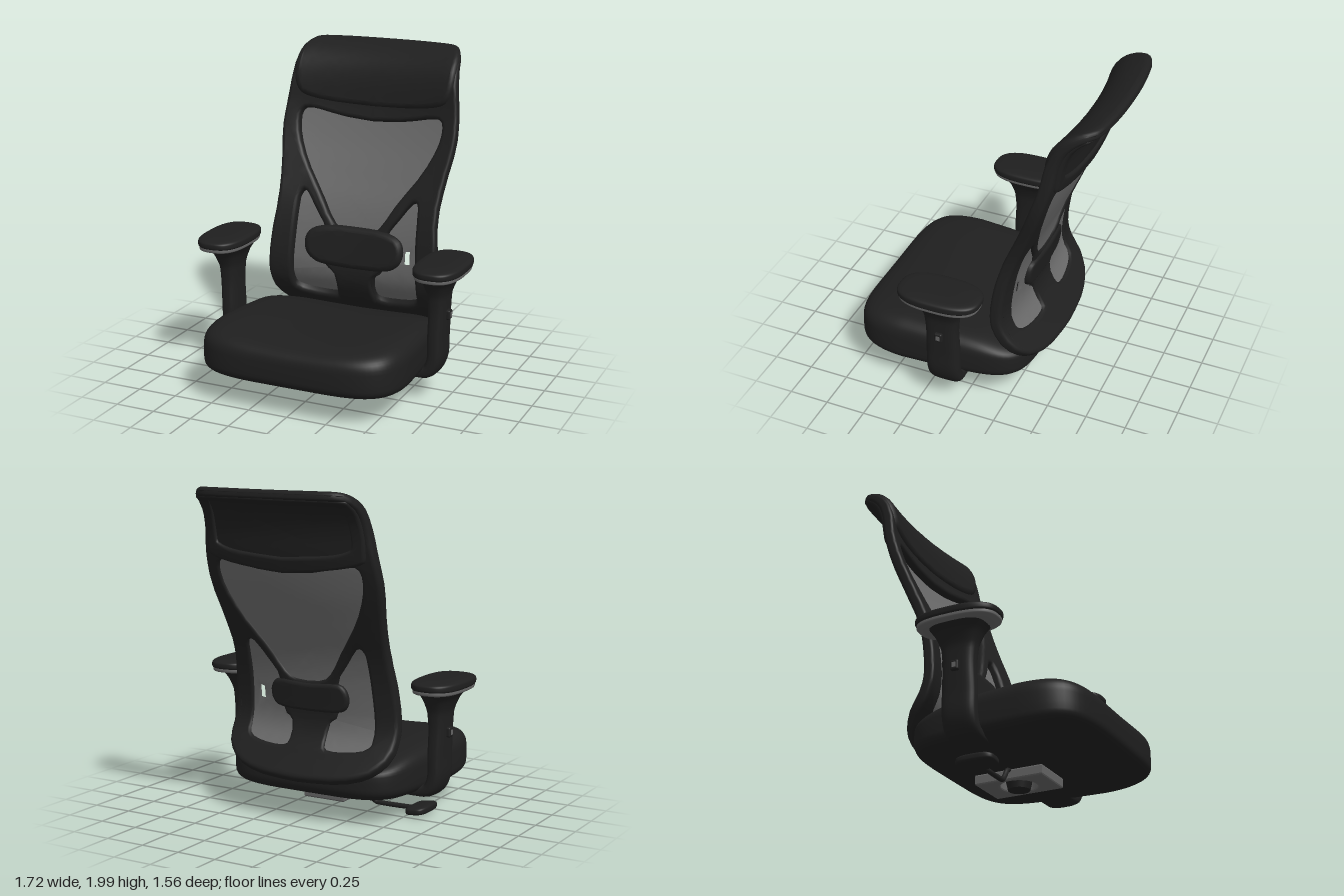
import * as THREE from 'three';
import { mergeVertices } from 'three/addons/utils/BufferGeometryUtils.js';
import { RoundedBoxGeometry } from 'three/addons/geometries/RoundedBoxGeometry.js';

const V2 = (p) => new THREE.Vector2(p[0], p[1]);
const V3 = (p) => new THREE.Vector3(p[0], p[1], p[2]);
const spow = (v, e) => Math.sign(v) * Math.pow(Math.abs(v), e);
const ease = THREE.MathUtils.smoothstep;

// Side profile of the backrest: [distance up the panel, y, z]
const spine = new THREE.CatmullRomCurve3([
  [0.2, 0.215, -0.44], [0.28, 0.29, -0.375], [0.4, 0.4, -0.285], [0.5, 0.5, -0.21], [0.6, 0.6, -0.177],
  [0.8, 0.8, -0.187], [1, 1, -0.235], [1.2, 1.2, -0.32], [1.4, 1.4, -0.405], [1.6, 1.6, -0.47],
  [1.75, 1.75, -0.497], [1.86, 1.85, -0.535], [1.95, 1.915, -0.595], [2.03, 1.955, -0.665], [2.1, 1.968, -0.733],
].map(V3)).getPoints(280);

// Wraps a flat point (x, s, depth) onto the curved backrest, thinner at the top
function wrap(x, s, depth) {
  let i = 1;
  while (i < spine.length - 1 && spine[i].x < s) i++;
  const a = spine[i - 1], b = spine[i], d = depth * (1 - 0.38 * ease(s, 1.8, 2.06));
  const t = (s - a.x) / (b.x - a.x), len = Math.hypot(b.y - a.y, b.z - a.z);
  const ty = (b.y - a.y) / len, tz = (b.z - a.z) / len;
  const bow = (0.03 + 0.03 * ease(s, 0.35, 0.8)) * (1 - (x / 0.58) ** 2);
  return [x, a.y + (b.y - a.y) * t - tz * d, a.z + (b.z - a.z) * t + ty * d - bow];
}

// Halves long edges until a panel is fine enough to bend
function refine(tri, out, limit) {
  const d = [0, 1, 2].map((i) => tri[i].distanceTo(tri[(i + 1) % 3]));
  const k = d.indexOf(Math.max(...d));
  if (d[k] < limit) { tri.forEach((p) => out.push(...wrap(p.x, p.y, p.z))); return; }
  const a = tri[k], b = tri[(k + 1) % 3], c = tri[(k + 2) % 3];
  const m = a.clone().add(b).multiplyScalar(0.5);
  refine([a, m, c], out, limit);
  refine([m, b, c], out, limit);
}

// Curved slab between two depths, with rounded rims
function slab(shape, d0, d1, bevel, curveSegments = 3) {
  let g = new THREE.ExtrudeGeometry(shape, {
    depth: d1 - d0 - 2 * bevel, bevelEnabled: bevel > 0, bevelThickness: bevel, bevelSize: bevel,
    bevelOffset: -bevel, bevelSegments: 3, curveSegments,
  });
  g.translate(0, 0, d0 + bevel);
  if (g.index) g = g.toNonIndexed();
  const p = g.attributes.position, out = [];
  for (let i = 0; i < p.count; i += 3) {
    refine([0, 1, 2].map((k) => new THREE.Vector3().fromBufferAttribute(p, i + k)), out, 0.07);
  }
  let r = new THREE.BufferGeometry();
  r.setAttribute('position', new THREE.Float32BufferAttribute(out, 3));
  r = mergeVertices(r, 1e-5);
  r.computeVertexNormals();
  return r;
}

// Closed smooth outline; the half version is mirrored in x
function outline(pts, Type = THREE.Shape) {
  const s = new Type();
  s.moveTo(...pts[0]);
  s.splineThru([...pts.slice(1), pts[0]].map(V2));
  return s;
}
const flip = (pts) => pts.map(([x, y]) => [-x, y]).reverse();
const both = (pts) => [...pts, ...flip(pts.filter((p) => p[0] > 0))];

// Rounded solid; eh squares the plan, ev squares the side, rule moves each point
function puff(rx, ry, rz, eh, ev, rule = (p) => p) {
  let g = new THREE.SphereGeometry(1, 64, 40);
  g.deleteAttribute('uv');
  g.deleteAttribute('normal');
  const p = g.attributes.position, v = new THREE.Vector3();
  for (let i = 0; i < p.count; i++) {
    v.fromBufferAttribute(p, i);
    const h = Math.hypot(v.x, v.z) || 1e-6, r = h < 1e-5 ? 0 : Math.pow(h, ev);
    v.set(rx * r * spow(v.x / h, eh), ry * spow(v.y, ev), rz * r * spow(v.z / h, eh));
    rule(v);
    p.setXYZ(i, v.x, v.y, v.z);
  }
  g = mergeVertices(g, 1e-5);
  g.computeVertexNormals();
  return g;
}

// Sweeps a squarish oval along sections of [x, y, half width, half depth]
function sweep(sections, steps = 36, sides = 28) {
  const path = new THREE.CatmullRomCurve3(sections.map((s) => V3([s[0], s[1], 0])));
  const size = new THREE.CatmullRomCurve3(sections.map((s) => V3([s[2], s[3], 0])));
  const pos = [], idx = [];
  for (let i = 0; i <= steps; i++) {
    const c = path.getPoint(i / steps), t = path.getTangent(i / steps), w = size.getPoint(i / steps);
    for (let j = 0; j < sides; j++) {
      const a = (j / sides) * Math.PI * 2, n = w.x * spow(Math.cos(a), 0.65);
      pos.push(c.x - t.y * n, c.y + t.x * n, w.y * spow(Math.sin(a), 0.65));
      if (i === steps) continue;
      const q = i * sides + j, r = i * sides + ((j + 1) % sides);
      idx.push(q, r, r + sides, q, r + sides, q + sides);
    }
  }
  const g = new THREE.BufferGeometry();
  g.setAttribute('position', new THREE.Float32BufferAttribute(pos, 3));
  g.setIndex(idx);
  g.computeVertexNormals();
  return g;
}

export function createModel() {
  const model = new THREE.Group();
  const mat = (name, color) => Object.assign(new THREE.MeshStandardMaterial({ color }), { name });
  const black = mat('black', 0x1f1f1f), grey = mat('meshGrey', 0x6a6a6a), metal = mat('trimGrey', 0x646464);
  const add = (parent, name, geo, material, x = 0, y = 0, z = 0) => {
    const m = new THREE.Mesh(geo, material);
    m.name = name;
    m.position.set(x, y, z);
    parent.add(m);
    return m;
  };

  // Backrest frame with one large and two small openings
  const back = new THREE.Group();
  back.name = 'backrest';
  model.add(back);
  const frame = outline(both([[0, 0.25], [0.25, 0.262], [0.42, 0.3], [0.52, 0.37], [0.57, 0.48], [0.562, 0.75],
    [0.537, 1], [0.55, 1.2], [0.583, 1.42], [0.578, 1.58], [0.557, 1.75], [0.542, 1.88], [0.52, 1.99], [0.46, 2.075],
    [0.3, 2.09], [0, 2.09]]));
  const upper = both([[0, 1.51], [0.2, 1.525], [0.38, 1.56], [0.46, 1.56], [0.482, 1.5], [0.462, 1.39], [0.386, 1.233],
    [0.254, 1.048], [0.16, 0.9], [0.08, 0.85]]);
  const lower = [[0.385, 1.07], [0.35, 1.06], [0.27, 0.95], [0.21, 0.86], [0.2, 0.72], [0.18, 0.62], [0.135, 0.58],
    [0.125, 0.46], [0.16, 0.425], [0.3, 0.43], [0.4, 0.455], [0.425, 0.52], [0.412, 0.8], [0.403, 1.03]];
  frame.holes = [upper, lower, flip(lower)].map((p) => outline(p, THREE.Path));
  add(back, 'backFrame', slab(frame, -0.036, 0.036, 0.022, 2), black);

  // Mesh fabric with its small adjuster slot
  const fabric = outline(both([[0, 0.4], [0.44, 0.41], [0.47, 0.6], [0.46, 1], [0.51, 1.45], [0.5, 1.6], [0, 1.6]]));
  const slot = new THREE.Path([[0.33, 0.69], [0.33, 0.77], [0.365, 0.78], [0.367, 0.695]].map(V2));
  fabric.holes.push(slot);
  add(back, 'meshFabric', slab(fabric, -0.022, -0.012, 0), grey);

  // Headrest cushion flowing into the frame, and the rim around the recess behind it
  const cushion = outline(both([[0, 1.595], [0.25, 1.605], [0.42, 1.63], [0.5, 1.67], [0.535, 1.76], [0.538, 1.88],
    [0.517, 1.99], [0.458, 2.075], [0.3, 2.09], [0, 2.09]]));
  add(back, 'headrestCushion', slab(cushion, -0.02, 0.054, 0.034), black);
  const rim = outline(both([[0, 1.52], [0.3, 1.55], [0.5, 1.59], [0.53, 1.65], [0.525, 1.85], [0.505, 1.99],
    [0.44, 2.06], [0, 2.08]]));
  rim.holes.push(outline(both([[0, 1.61], [0.3, 1.63], [0.43, 1.66], [0.455, 1.7], [0.45, 1.85], [0.43, 1.97],
    [0.37, 2.01], [0, 2.02]]), THREE.Path));
  add(back, 'headrestRim', slab(rim, -0.054, -0.015, 0.016), black);

  // Lumbar pad in front, its stem and the bracket behind
  const pad = outline(both([[0, 0.63], [0.16, 0.635], [0.26, 0.655], [0.32, 0.71], [0.33, 0.79], [0.29, 0.85],
    [0.18, 0.88], [0, 0.885]]));
  add(back, 'lumbarPad', slab(pad, -0.01, 0.062, 0.034), black);
  const stem = outline(both([[0, 0.4], [0.12, 0.41], [0.12, 0.5], [0.125, 0.58], [0.18, 0.63], [0.22, 0.69], [0, 0.72]]));
  add(back, 'lumbarStem', slab(stem, 0, 0.046, 0.02), black);
  const bracket = outline(both([[0, 0.65], [0.2, 0.66], [0.26, 0.71], [0.26, 0.79], [0.2, 0.84], [0, 0.83]]));
  add(back, 'lumbarBracket', slab(bracket, -0.052, 0, 0.02), black);

  // Seat cushion: tapered to the rear, dished on top, rounded in front
  add(model, 'seatCushion', puff(0.645, 1, 0.57, 0.42, 0.47, (v) => {
    const z = v.z + 0.21;
    v.x *= 1 - 0.07 * ease(-z, -0.5, 0.3);
    const drop = 0.035 * ease(-z, -0.4, 0.1) + 0.06 * ease(-z, 0, 0.35);
    const dish = 0.04 * Math.max(0, 1 - (v.x / 0.56) ** 2);
    v.y = 0.28 + (v.y > 0 ? v.y * (0.205 - drop - dish) : v.y * (0.15 - 0.02 * ease(z, 0.4, 0.78)));
    v.z = z;
  }), black);

  // Armrests; the second is the first turned half round
  for (const side of [1, -1]) {
    const arm = new THREE.Group();
    arm.name = side > 0 ? 'leftArmrest' : 'rightArmrest';
    arm.position.z = 0.1;
    arm.rotation.y = side > 0 ? 0 : Math.PI;
    model.add(arm);
    add(arm, 'armPost', sweep([[0.4, 0.175, 0.03, 0.1], [0.56, 0.17, 0.035, 0.1], [0.65, 0.19, 0.045, 0.105],
      [0.684, 0.26, 0.048, 0.105], [0.688, 0.4, 0.05, 0.105], [0.692, 0.55, 0.052, 0.1], [0.692, 0.66, 0.058, 0.108],
      [0.694, 0.74, 0.085, 0.138], [0.696, 0.8, 0.125, 0.18]]), black);
    add(arm, 'armPad', puff(0.148, 0.036, 0.258, 0.74, 0.55), black, 0.71, 0.836, 0);
    add(arm, 'armPadTrim', puff(0.141, 0.024, 0.25, 0.74, 0.5), metal, 0.71, 0.808, 0);
    add(arm, 'heightButton', new RoundedBoxGeometry(0.03, 0.06, 0.05, 3, 0.01), black, 0.75, 0.54, 0);
    add(arm, 'buttonFace', new THREE.BoxGeometry(0.006, 0.03, 0.024), metal, 0.764, 0.54, 0);
  }

  // Mounting plate under the seat with an open middle and a hub
  const plate = new THREE.Shape([[-0.14, -0.1], [0.14, -0.1], [0.14, 0.33], [-0.14, 0.33]].map(V2));
  plate.holes.push(new THREE.Path().absarc(0, 0.115, 0.108, 0, Math.PI * 2));
  const plateGeo = new THREE.ExtrudeGeometry(plate, {
    depth: 0.045, bevelSize: 0.012, bevelOffset: -0.012, bevelThickness: 0.01, bevelSegments: 2, curveSegments: 24,
  });
  add(model, 'mountPlate', plateGeo.rotateX(Math.PI / 2), metal, 0, 0.12, 0);
  add(model, 'mountHub', new THREE.CylinderGeometry(0.085, 0.065, 0.09, 32), black, 0, 0.09, 0.115);

  // Tilt lever and its paddle
  const lever = new THREE.CatmullRomCurve3([[-0.08, 0.14, 0.12], [-0.16, 0.115, 0.12], [-0.2, 0.07, 0.125],
    [-0.24, 0.033, 0.13], [-0.28, 0.03, 0.13], [-0.4, 0.03, 0.13], [-0.55, 0.035, 0.13]].map(V3));
  add(model, 'tiltLever', new THREE.TubeGeometry(lever, 40, 0.015, 12), black);
  add(model, 'leverPaddle', puff(0.07, 0.028, 0.12, 0.6, 0.6, (v) => { v.y -= v.x * 0.12; }), black, -0.55, 0.036, 0.135);

  return model;
}
